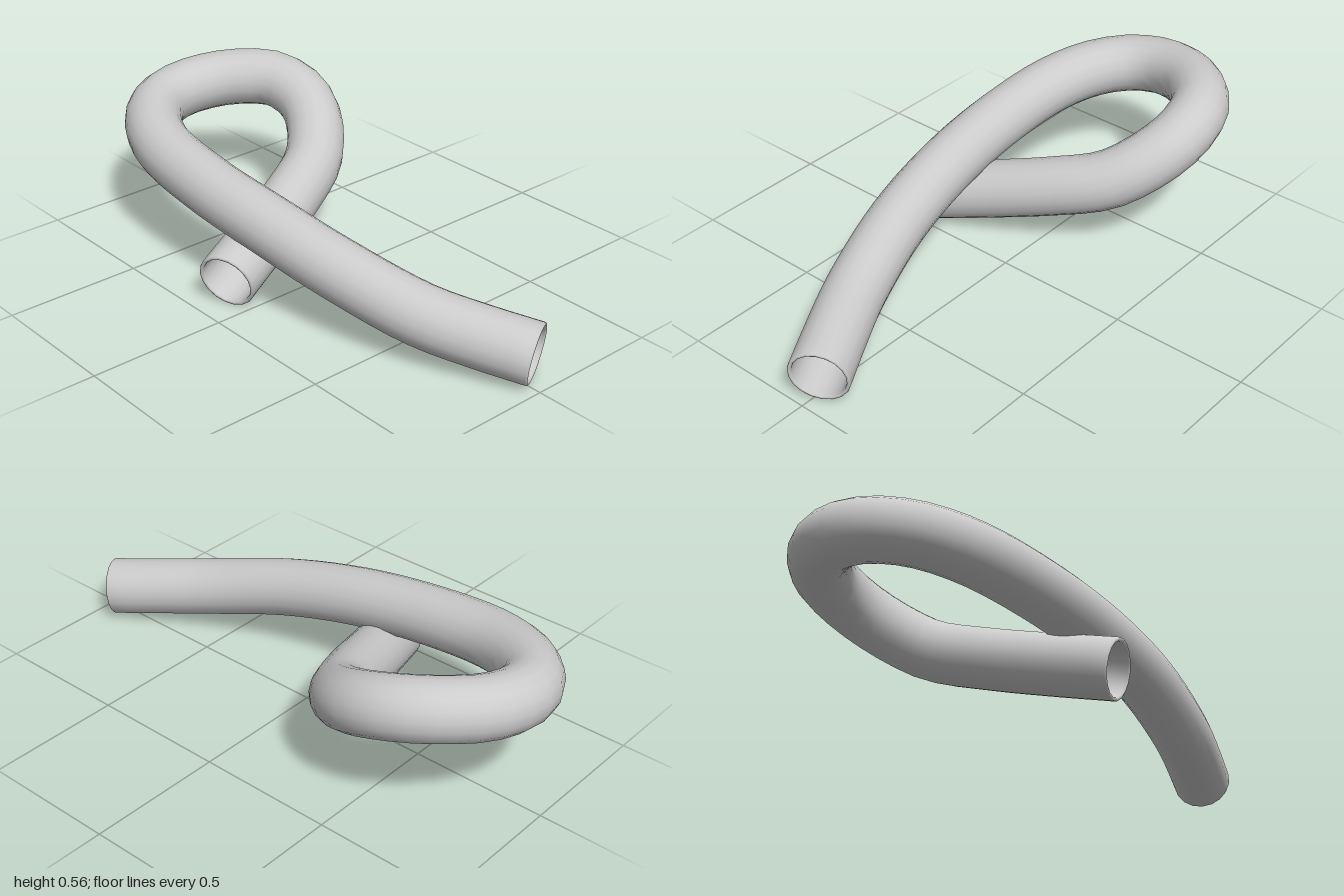
import * as THREE from 'three';

const SIDES = 18, STEPS = 56, OUTER = 0.106, INNER = 0.092;

// Centre line of the looped hose, from the far end round to the front end
const path = new THREE.CatmullRomCurve3([
  [0.945, 0.113, -0.03], [0.78, 0.138, 0.057], [0.6, 0.17, 0.142], [0.3, 0.245, 0.232],
  [0, 0.305, 0.278], [-0.3, 0.345, 0.295], [-0.6, 0.38, 0.27], [-0.77, 0.405, 0.195],
  [-0.865, 0.42, 0.095], [-0.893, 0.435, -0.02], [-0.862, 0.45, -0.145], [-0.8, 0.46, -0.235],
  [-0.7, 0.461, -0.318], [-0.59, 0.436, -0.345], [-0.5, 0.40, -0.333], [-0.41, 0.348, -0.285],
  [-0.32, 0.285, -0.195], [-0.228, 0.225, -0.01], [-0.15, 0.168, 0.19], [-0.065, 0.11, 0.41],
].map((p) => new THREE.Vector3(...p)));

// Sweep rings along the path: outer wall, rounded rim, inner wall back, rounded rim
function hoseGeometry() {
  const frames = path.computeFrenetFrames(STEPS, false);
  const rings = [];
  const mid = (OUTER + INNER) / 2, lip = (OUTER - INNER) / 2;
  const rim = (step, dir, from) => {
    for (let k = 1; k < 4; k++) {
      const a = (k / 4) * Math.PI;
      rings.push([step, mid + from * lip * Math.cos(a), dir * lip * Math.sin(a)]);
    }
  };
  for (let i = 0; i <= STEPS; i++) rings.push([i, OUTER, 0]);
  rim(STEPS, 1, 1);
  for (let i = STEPS; i >= 0; i--) rings.push([i, INNER, 0]);
  rim(0, -1, -1);

  const positions = [], index = [];
  for (const [step, radius, shift] of rings) {
    const centre = path.getPointAt(step / STEPS).addScaledVector(frames.tangents[step], shift);
    for (let j = 0; j < SIDES; j++) {
      const a = (j / SIDES) * Math.PI * 2;
      const p = centre.clone()
        .addScaledVector(frames.normals[step], radius * Math.cos(a))
        .addScaledVector(frames.binormals[step], radius * Math.sin(a));
      positions.push(p.x, p.y, p.z);
    }
  }
  // The last ring joins the first, so the wall is a closed skin
  for (let i = 0; i < rings.length; i++) {
    const next = (i + 1) % rings.length;
    for (let j = 0; j < SIDES; j++) {
      const k = (j + 1) % SIDES;
      const a = i * SIDES + j, b = i * SIDES + k;
      const c = next * SIDES + k, d = next * SIDES + j;
      index.push(a, b, c, a, c, d);
    }
  }
  const geometry = new THREE.BufferGeometry();
  geometry.setAttribute('position', new THREE.Float32BufferAttribute(positions, 3));
  geometry.setIndex(index);
  geometry.computeVertexNormals();
  return geometry;
}

export function createModel() {
  const group = new THREE.Group();
  group.name = 'loopedHose';
  const hose = new THREE.Mesh(hoseGeometry(), new THREE.MeshStandardMaterial({ color: 0xcccccc }));
  hose.name = 'hose';
  group.add(hose);
  return group;
}
